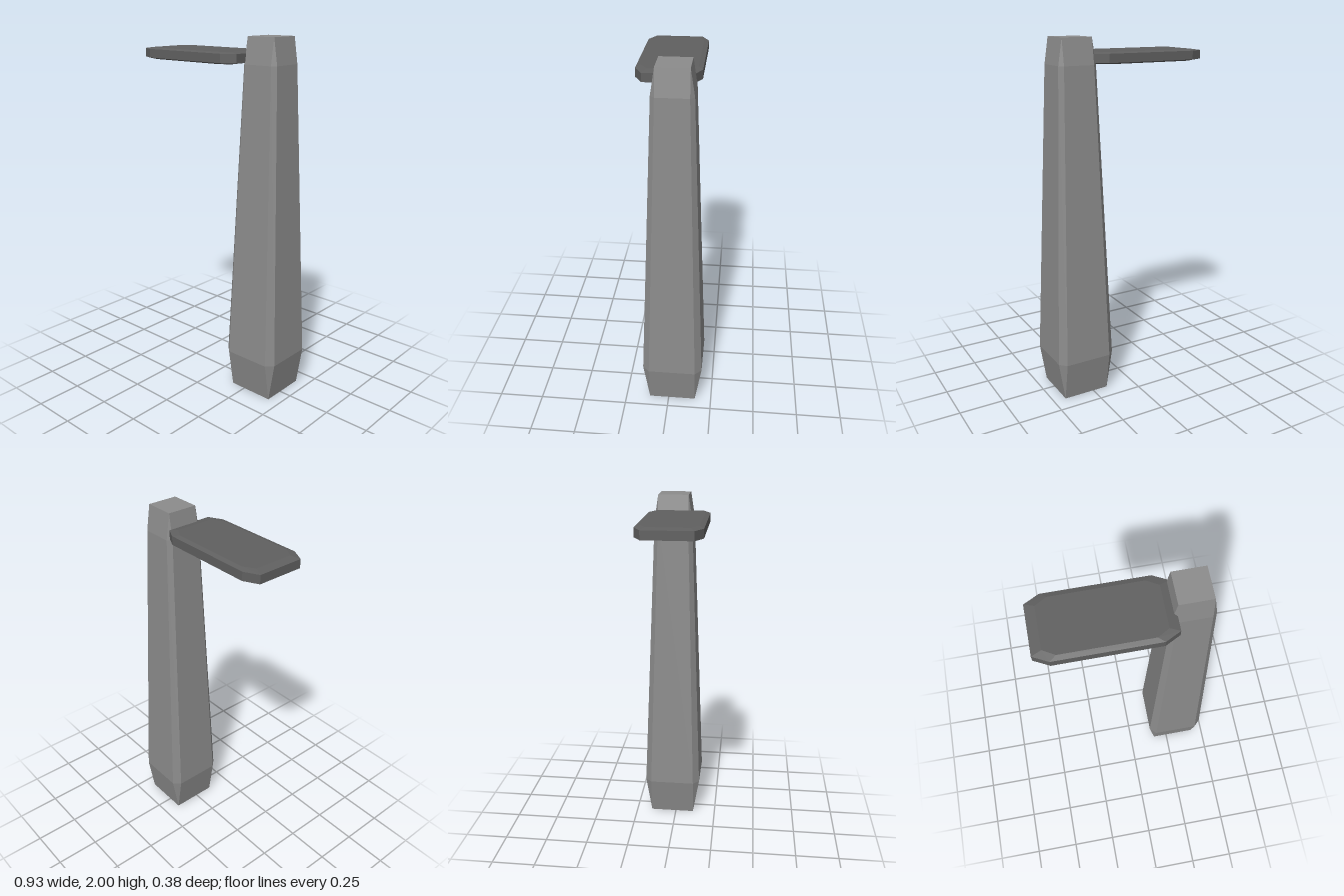
import * as THREE from 'three';

// Eight-point cross-section: a rectangle with corners cut by cx, cz
function ring(y, hx, hz, cx = 0, cz = cx) {
  const ax = hx - cx, az = hz - cz;
  return [
    [hx, -az], [hx, az], [ax, hz], [-ax, hz],
    [-hx, az], [-hx, -az], [-ax, -hz], [ax, -hz],
  ].map(([x, z]) => new THREE.Vector3(x, y, z));
}

// Faceted skin through the rings, closed at both ends
function loft(rings) {
  const pos = [];
  const tri = (a, b, c) => {
    const area = b.clone().sub(a).cross(c.clone().sub(a)).length();
    if (area > 1e-9) for (const p of [a, b, c]) pos.push(p.x, p.y, p.z);
  };
  for (let r = 0; r < rings.length - 1; r++) {
    for (let i = 0; i < 8; i++) {
      const j = (i + 1) % 8;
      const a = rings[r][i], b = rings[r][j], c = rings[r + 1][j], d = rings[r + 1][i];
      tri(a, d, c);
      tri(a, c, b);
    }
  }
  const first = rings[0], last = rings[rings.length - 1];
  for (let i = 1; i < 7; i++) {
    tri(first[0], first[i], first[i + 1]);
    tri(last[0], last[i + 1], last[i]);
  }
  const geo = new THREE.BufferGeometry();
  geo.setAttribute('position', new THREE.Float32BufferAttribute(pos, 3));
  geo.computeVertexNormals();
  return geo;
}

function addPart(group, name, geo, color, x, y, z) {
  const mesh = new THREE.Mesh(geo, new THREE.MeshStandardMaterial({ color, flatShading: true }));
  mesh.name = name;
  mesh.position.set(x, y, z);
  group.add(mesh);
}

export function createModel() {
  const model = new THREE.Group();
  model.name = 'streetLamp';

  // Tapered post: square ends, chamfered corners between
  addPart(model, 'post', loft([
    ring(0, 0.133, 0.133),
    ring(0.225, 0.17, 0.17, 0.037),
    ring(1.86, 0.107, 0.107, 0.022),
    ring(2, 0.085, 0.085),
  ]), 0x8c8c8c, 0.296, 0, -0.022);

  // Lamp head: from the recess ceiling, round the rim, to the slightly raised top
  addPart(model, 'lampHead', loft([
    ring(0.026, 0.265, 0.108),
    ring(0, 0.285, 0.12),
    ring(0, 0.29, 0.145, 0.06, 0.035),
    ring(0.008, 0.34, 0.17, 0.078, 0.04),
    ring(0.055, 0.34, 0.17, 0.078, 0.04),
    ring(0.062, 0.29, 0.145, 0.06, 0.035),
  ]), 0x606060, -0.128, 1.86, 0.02);

  // Yellow light panel inside the recess
  addPart(model, 'lightPanel', new THREE.BoxGeometry(0.53, 0.006, 0.216), 0xd0b810, -0.128, 1.887, 0.02);

  return model;
}
